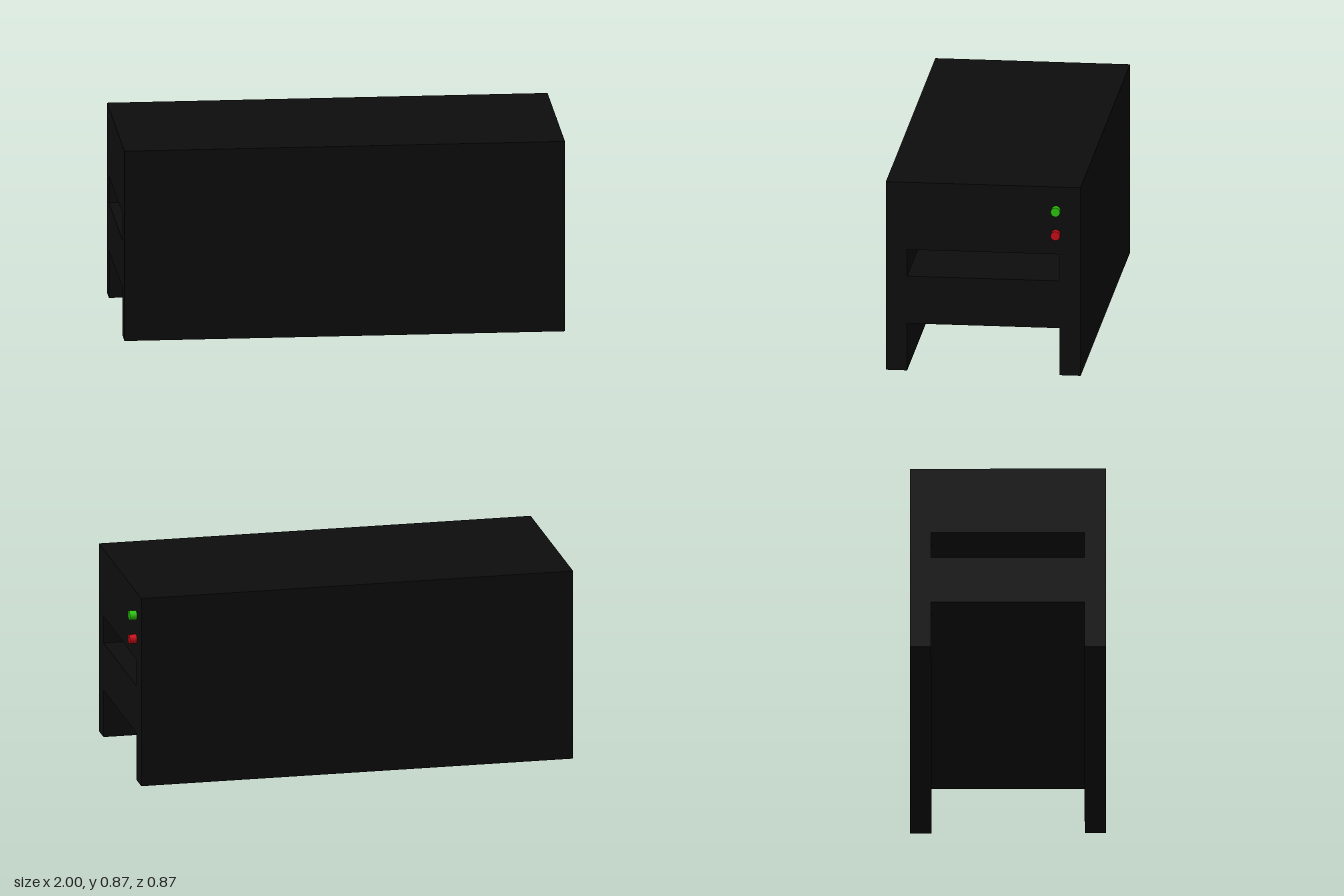
import * as THREE from 'three';

const HALF = 0.436, TOP = 0.872, INNER = 0.341;
const BACK = -1, FACE = 0.968;

export function createModel() {
  const model = new THREE.Group();
  model.name = 'slottedHousing';

  // End profile: two side legs under a body with a wide slot
  const profile = new THREE.Shape([
    [-HALF, 0], [-INNER, 0], [-INNER, 0.218], [INNER, 0.218],
    [INNER, 0], [HALF, 0], [HALF, TOP], [-HALF, TOP],
  ].map(([u, v]) => new THREE.Vector2(u, v)));
  profile.holes.push(new THREE.Path([
    [-INNER, 0.437], [-INNER, 0.56], [INNER, 0.56], [INNER, 0.437],
  ].map(([u, v]) => new THREE.Vector2(u, v))));

  // Housing runs the whole length along x
  const bodyGeometry = new THREE.ExtrudeGeometry(profile, { depth: FACE - BACK, bevelEnabled: false });
  bodyGeometry.rotateY(Math.PI / 2).translate(BACK, 0, 0);
  const body = new THREE.Mesh(bodyGeometry, new THREE.MeshStandardMaterial({ color: 0x0d0d0d }));
  body.name = 'housing';
  model.add(body);

  // Round push buttons on the +x end
  const buttonGeometry = new THREE.CylinderGeometry(0.021, 0.021, 1 - FACE, 32).rotateZ(-Math.PI / 2);
  for (const [name, y, color] of [['greenButton', 0.763, 0x2dcc0d], ['redButton', 0.653, 0xcc0d18]]) {
    const button = new THREE.Mesh(buttonGeometry, new THREE.MeshStandardMaterial({ color }));
    button.name = name;
    button.position.set((1 + FACE) / 2, y, -0.326);
    model.add(button);
  }
  return model;
}
